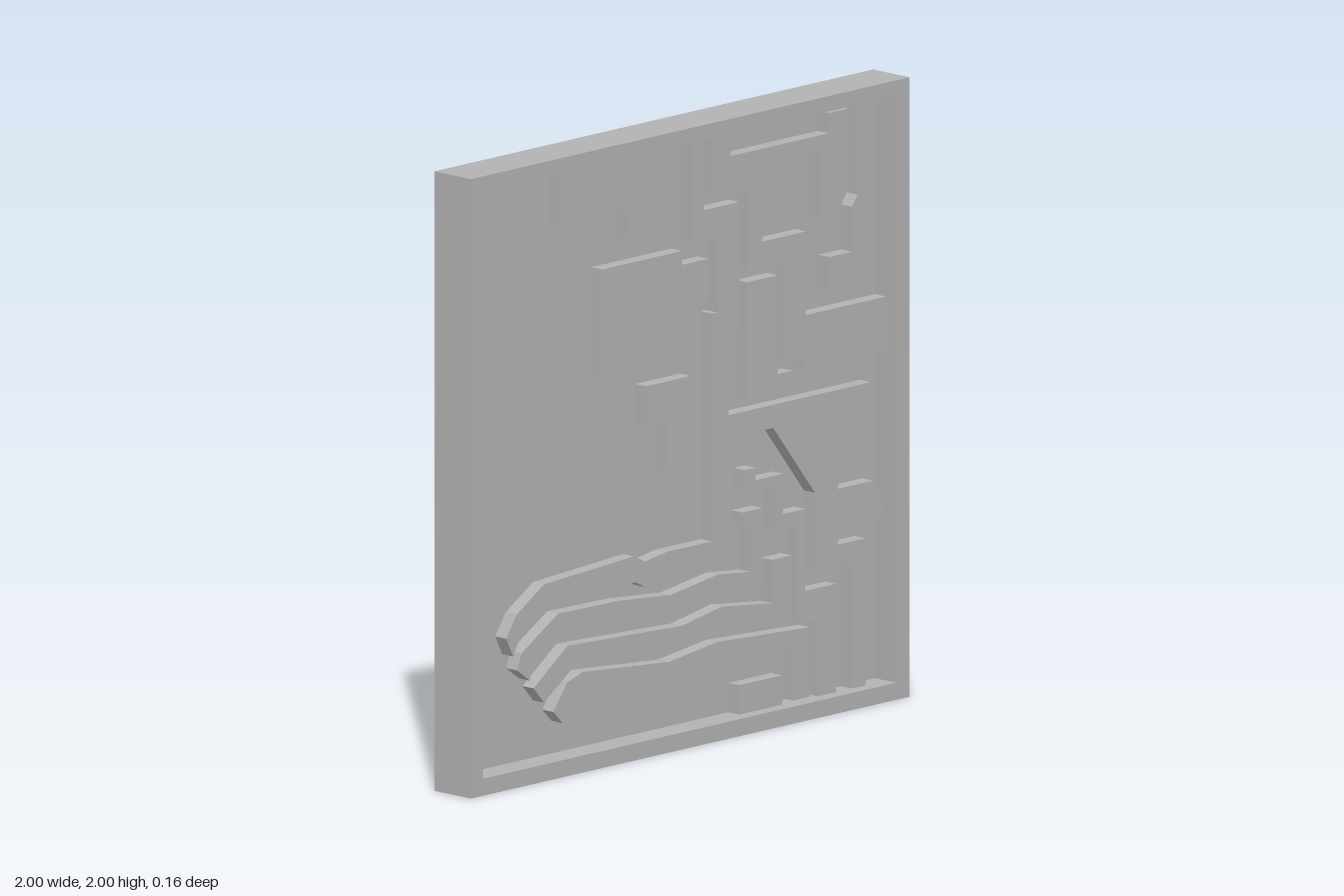
import * as THREE from 'three';

const BACK = -0.08, FLOOR = -0.013, RELIEF = 0.035, FRONT = 0.08;

export function createModel() {
  const group = new THREE.Group();
  const grey = new THREE.MeshStandardMaterial({ color: 0xb2b2b2 });
  grey.name = 'stone grey';

  const outline = (pts, Type = THREE.Shape) => new Type(pts.map(([x, y]) => new THREE.Vector2(x, y)));
  const rect = (x0, y0, x1, y1) => [[x0, y0], [x1, y0], [x1, y1], [x0, y1]];

  // Extrude an outline between two depths
  function plate(name, pts, z0, z1, hole) {
    const shape = outline(pts);
    if (hole) shape.holes.push(outline(hole, THREE.Path));
    const geo = new THREE.ExtrudeGeometry(shape, { depth: z1 - z0, bevelEnabled: false });
    geo.translate(0, 0, z0);
    const mesh = new THREE.Mesh(geo, grey);
    mesh.name = name;
    group.add(mesh);
  }

  // Backing panel and raised border
  plate('backPanel', rect(-1, 0, 1, 2), BACK, FLOOR);
  plate('borderFrame', rect(-1, 0, 1, 2), FLOOR, FRONT, rect(-0.945, 0.055, 0.94, 1.95));

  // Raised shapes on the panel floor
  const reliefs = {
    topSteppedBlock: [[-0.55, 1.95], [-0.55, 1.77], [-0.235, 1.77], [-0.235, 1.675], [0.01, 1.675], [0.01, 1.95]],
    notchedBlock: [[-0.355, 1.595], [-0.355, 1.245], [0.01, 1.245], [0.01, 1.42], [0.13, 1.42], [0.13, 1.55],
      [0.01, 1.55], [0.01, 1.595]],
    hookBlock: [[-0.155, 1.185], [-0.155, 1.05], [-0.06, 1.05], [-0.06, 0.895], [0.05, 0.895], [0.05, 1.185]],
    // Long trunk with the upper finger and the right-hand branches
    mainTrunk: [[0.055, 1.945], [0.055, 1.62], [0.17, 1.62], [0.17, 1.37], [0.145, 1.37], [0.145, 0.635],
      [-0.06, 0.635], [-0.16, 0.62], [-0.21, 0.645], [-0.62, 0.622], [-0.745, 0.545], [-0.793, 0.475],
      [-0.76, 0.412], [-0.722, 0.487], [-0.583, 0.55], [-0.203, 0.56], [-0.16, 0.538], [-0.02, 0.553],
      [0.22, 0.553], [0.22, 0.955], [0.425, 0.955], [0.615, 0.715], [0.615, 0.465], [0.785, 0.465],
      [0.785, 0.055], [0.845, 0.055], [0.845, 0.53], [0.72, 0.53], [0.72, 0.617], [0.94, 0.595],
      [0.88, 0.71], [0.72, 0.71], [0.72, 0.96], [0.87, 0.96], [0.87, 1.03], [0.22, 1.03], [0.22, 1.29],
      [0.27, 1.29], [0.27, 1.71], [0.11, 1.71], [0.11, 1.945]],
    secondFinger: [[-0.743, 0.364], [-0.685, 0.322], [-0.672, 0.374], [-0.503, 0.455], [-0.04, 0.417],
      [0.19, 0.457], [0.375, 0.44], [0.375, 0.705], [0.285, 0.705], [0.285, 0.66], [0.32, 0.66],
      [0.32, 0.508], [0.17, 0.523], [-0.04, 0.493], [-0.28, 0.513], [-0.556, 0.517], [-0.722, 0.417]],
    thirdFinger: [[-0.668, 0.294], [-0.62, 0.24], [-0.487, 0.332], [-0.4, 0.337], [0.01, 0.31],
      [0.18, 0.342], [0.51, 0.315], [0.51, 0.53], [0.42, 0.53], [0.42, 0.39], [0.19, 0.417],
      [0.01, 0.385], [-0.513, 0.406]],
    fourthFinger: [[-0.578, 0.203], [-0.535, 0.16], [-0.481, 0.241], [-0.428, 0.257], [-0.385, 0.246],
      [-0.06, 0.22], [0.17, 0.246], [0.515, 0.225], [0.515, 0.06], [0.59, 0.06], [0.59, 0.285],
      [0.17, 0.306], [-0.05, 0.278], [-0.444, 0.31], [-0.513, 0.289]],
    staircase: [[0.295, 0.84], [0.295, 0.77], [0.43, 0.77], [0.43, 0.62], [0.535, 0.62], [0.535, 0.305],
      [0.63, 0.305], [0.63, 0.055], [0.71, 0.055], [0.71, 0.405], [0.57, 0.405], [0.57, 0.67],
      [0.47, 0.67], [0.47, 0.8], [0.345, 0.8], [0.345, 0.84]],
    bottomBlock: rect(0.27, 0.055, 0.465, 0.15),
    upperBranch: [[0.15, 1.95], [0.15, 1.755], [0.31, 1.755], [0.31, 1.48], [0.48, 1.48], [0.48, 1.16],
      [0.57, 1.16], [0.57, 1.125], [0.94, 1.125], [0.94, 1.295], [0.575, 1.295], [0.575, 1.565],
      [0.375, 1.565], [0.375, 1.815], [0.64, 1.815], [0.64, 1.59], [0.72, 1.59], [0.72, 1.7],
      [0.765, 1.74], [0.765, 1.93], [0.68, 1.93], [0.68, 1.865], [0.23, 1.865], [0.23, 1.95]],
    footBlock: [[0.305, 1.445], [0.305, 1.06], [0.515, 1.06], [0.515, 1.125], [0.445, 1.125], [0.445, 1.445]],
    cornerHook: [[0.81, 1.94], [0.81, 1.645], [0.785, 1.61], [0.785, 1.465], [0.68, 1.465], [0.68, 1.36],
      [0.89, 1.36], [0.89, 1.94]],
  };
  for (const [name, pts] of Object.entries(reliefs)) plate(name, pts, FLOOR, RELIEF);

  return group;
}
